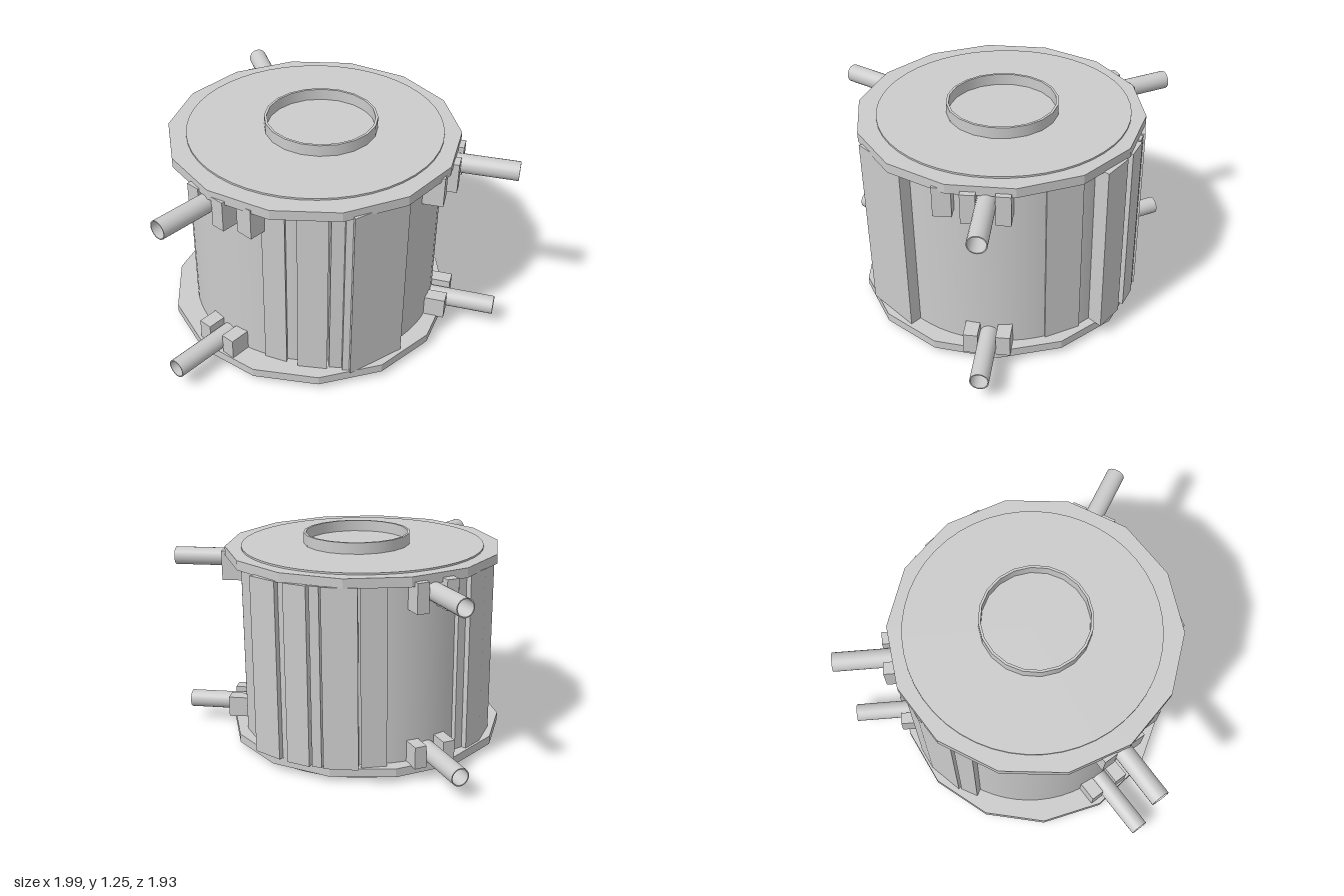
import * as THREE from 'three';

const material = new THREE.MeshStandardMaterial({ color: 0xcccccc });
const flat = new THREE.MeshStandardMaterial({ color: 0xcccccc, flatShading: true });
const open = new THREE.MeshStandardMaterial({ color: 0xcccccc, side: THREE.DoubleSide });
const rad = THREE.MathUtils.degToRad;
const CX = 0.01, CZ = 0.13; // drum axis

function add(parent, name, geometry, mat, x = 0, y = 0, z = 0) {
  const mesh = new THREE.Mesh(geometry, mat);
  mesh.name = name;
  mesh.position.set(x, y, z);
  parent.add(mesh);
  return mesh;
}

// Upright disc between two heights
function disc(parent, name, r, y0, y1, x, z, sides, mat, turn = 0) {
  const geometry = new THREE.CylinderGeometry(r, r, y1 - y0, sides, 1, false, turn);
  add(parent, name, geometry, mat, x, (y0 + y1) / 2, z);
}

// Flat wall panel: a wedge between two angles (from the front), each with its outer radius
function panel(parent, a0, a1, r0, r1, top) {
  const point = (a, r) => new THREE.Vector2(r * Math.sin(rad(a)), -r * Math.cos(rad(a)));
  const shape = new THREE.Shape([point(a0, 0.66), point(a0, r0), point(a1, r1), point(a1, 0.66)]);
  const geometry = new THREE.ExtrudeGeometry(shape, { depth: top - 0.085, bevelEnabled: false });
  geometry.rotateX(-Math.PI / 2);
  add(parent, 'wallPanel', geometry, flat, CX, 0.085, CZ);
}

// Open-ended tube with a thin wall, standing on its lower rim
function tube(r, wall, length, sides) {
  const v = (x, y) => new THREE.Vector2(x, y);
  const i = r - wall;
  // rims repeat their points so the edges stay sharp
  const geometry = new THREE.LatheGeometry(
    [v(i, 0), v(r, 0), v(r, 0), v(r, length), v(r, length), v(i, length), v(i, length), v(i, 0)], sides);
  const normal = geometry.attributes.normal;
  const rows = [[0, -1], [0, -1], [1, 0], [1, 0], [0, 1], [0, 1], [-1, 0], [-1, 0]];
  for (let k = 0; k < normal.count; k++) {
    const a = Math.floor(k / 8) / sides * Math.PI * 2;
    const [n, y] = rows[k % 8];
    normal.setXYZ(k, n * Math.sin(a), y, n * Math.cos(a));
  }
  return geometry;
}

// Radial pipe with the clamp blocks beside it; local +z points outward
function pipeMount(parent, angle, shift, y, tip, blocks, y0, y1) {
  const mount = new THREE.Group();
  mount.name = 'pipeMount';
  mount.position.set(CX, 0, CZ);
  mount.rotation.y = rad(angle);
  parent.add(mount);
  const pipe = add(mount, 'pipe', tube(0.053, 0.006, tip - 0.68, 20), open, shift, y, 0.68);
  pipe.rotation.x = Math.PI / 2;
  for (const [side, width, reach] of blocks) {
    const geometry = new THREE.BoxGeometry(width, y1 - y0, reach - 0.64);
    add(mount, 'clampBlock', geometry, flat, shift + side, (y0 + y1) / 2, (reach + 0.64) / 2);
  }
}

export function createModel() {
  const model = new THREE.Group();
  model.name = 'drum';

  // Drum, end discs and faceted flanges
  disc(model, 'base', 0.71, 0, 0.04, CX, CZ, 48, material);
  disc(model, 'lowerFlange', 0.82, 0.035, 0.085, -0.02, 0.15, 14, flat, Math.PI / 14);
  disc(model, 'barrel', 0.715, 0.08, 1.12, CX, CZ, 64, material);
  disc(model, 'upperFlange', 0.81, 1.115, 1.17, 0, 0.145, 14, flat, rad(-6));
  disc(model, 'lid', 0.71, 1.165, 1.18, CX, CZ, 48, material);
  add(model, 'collar', tube(0.313, 0.014, 0.067, 20), open, 0.037, 1.178, 0.15);

  // Three stacks of wall panels between the pipes
  const panels = [
    // front
    [-38, -28, 0.73, 0.74], [-23, -11, 0.76, 0.78], [-10, -5, 0.77, 0.78], [-5, -2.5, 0.8, 0.81],
    [-2.5, 22, 0.835, 0.785],
    // back right
    [83, 100, 0.725, 0.73], [107, 120, 0.81, 0.8], [120, 124, 0.77, 0.77], [124, 134, 0.8, 0.8], [135, 139, 0.79, 0.79],
    [140, 154, 0.8, 0.79], [155, 166, 0.76, 0.75],
    // back left
    [201, 205, 0.74, 0.75], [205, 215, 0.78, 0.79], [215, 231, 0.79, 0.78], [232, 240, 0.77, 0.76],
  ];
  for (const [a0, a1, r0, r1] of panels) panel(model, a0, a1, r0, r1, a0 === -2.5 ? 1.13 : 1.12);

  // Back pipes
  const backBlocks = [[-0.09, 0.07, 0.82], [0.085, 0.07, 0.82]];
  pipeMount(model, 180, 0.07, 1.07, 1.1, backBlocks, 0.97, 1.14);
  pipeMount(model, 180, 0.07, 0.135, 1.1, backBlocks, 0.08, 0.21);

  // Front side pipes, mirrored left and right
  for (const s of [-1, 1]) {
    const pair = [[-s * 0.09, 0.08, 0.82], [s * 0.09, 0.08, 0.82]];
    const trio = [...pair, [-s * 0.23, 0.1, 0.77]];
    pipeMount(model, s * 59, 0, 1.07, 1.13, trio, 0.96, 1.135);
    pipeMount(model, s * 58, 0, 0.135, s > 0 ? 1.09 : 1.12, pair, 0.08, 0.205);
  }
  return model;
}
